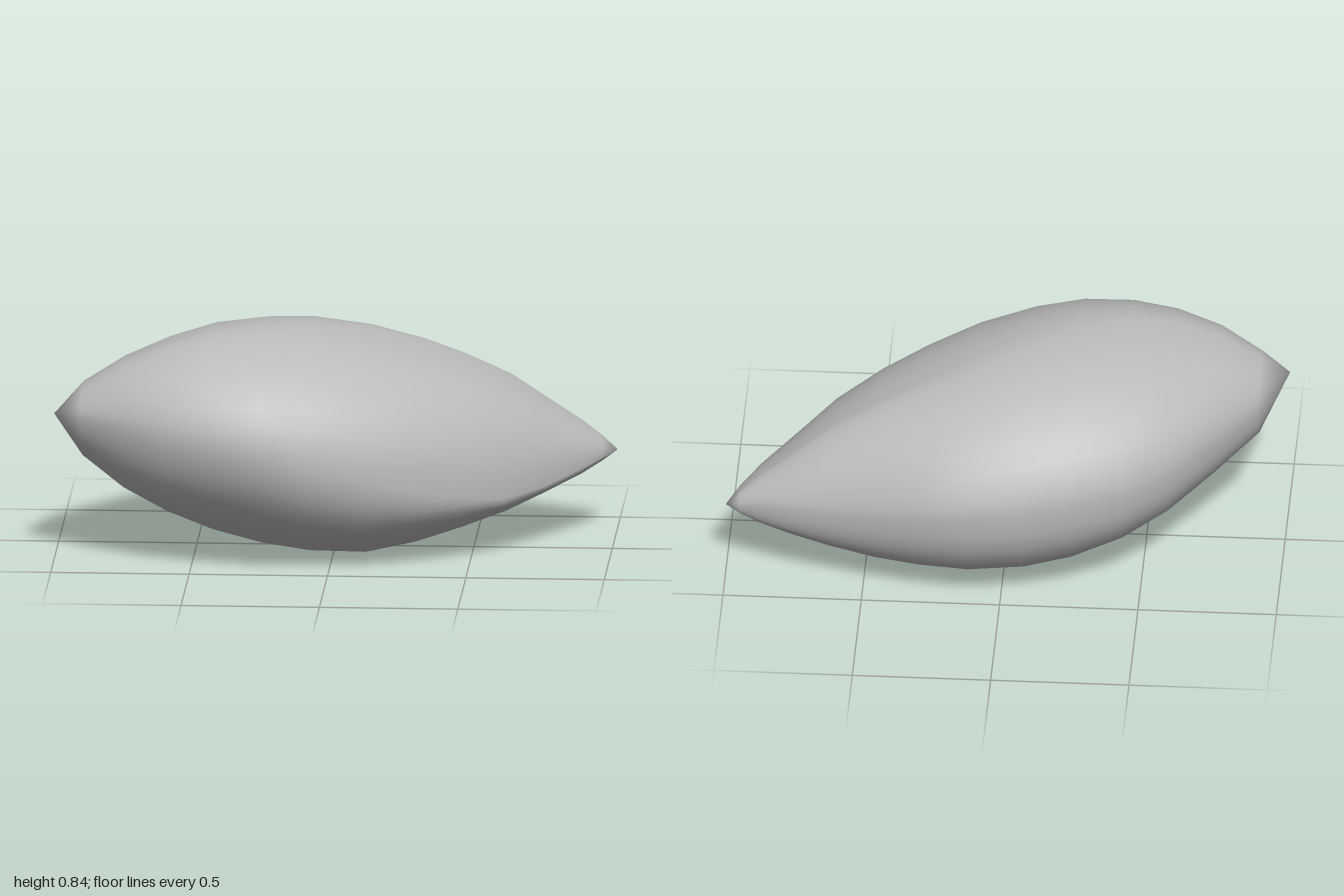
import * as THREE from 'three';

// Cross-sections along the pod:
// x, top y, top z, front z, front y, bottom y, bottom z, back z, back y
const SECTIONS = [
  [-0.90, 0.64, 0.22, 0.35, 0.54, 0.375, 0.22, 0.02, 0.52],
  [-0.75, 0.73, 0.22, 0.445, 0.53, 0.265, 0.25, -0.17, 0.50],
  [-0.59, 0.79, 0.20, 0.52, 0.51, 0.175, 0.23, -0.37, 0.48],
  [-0.43, 0.83, 0.15, 0.565, 0.49, 0.10, 0.17, -0.48, 0.46],
  [-0.25, 0.84, 0.08, 0.59, 0.46, 0.04, 0.10, -0.545, 0.45],
  [-0.08, 0.83, 0.0, 0.565, 0.41, 0.01, 0.06, -0.58, 0.43],
  [0.12, 0.787, -0.10, 0.51, 0.355, 0.002, 0.02, -0.596, 0.42],
  [0.30, 0.73, -0.17, 0.42, 0.30, 0.028, -0.08, -0.56, 0.39],
  [0.46, 0.665, -0.21, 0.32, 0.255, 0.07, -0.19, -0.51, 0.36],
  [0.62, 0.585, -0.25, 0.19, 0.225, 0.125, -0.27, -0.465, 0.34],
  [0.76, 0.485, -0.28, 0.02, 0.235, 0.18, -0.32, -0.43, 0.33],
  [0.88, 0.40, -0.31, -0.13, 0.265, 0.225, -0.34, -0.39, 0.32],
  [0.95, 0.34, -0.33, -0.235, 0.285, 0.26, -0.34, -0.365, 0.30],
];
const SIDES = 40;

// Fullness of each quarter at the two ends of the pod (2 is an ellipse)
const FULLNESS = {
  frontTop: [1.83, 2.3],
  backTop: [1.98, 1.68],
  frontBottom: [1.8, 2.2],
  backBottom: [2.4, 2.3],
};

// Four quarter arcs joined smoothly through the extreme points
function ring([x, topY, topZ, frontZ, frontY, botY, botZ, backZ, backY]) {
  const blend = THREE.MathUtils.smoothstep(x, -0.5, 0.5);
  const points = [];
  for (let j = 0; j < SIDES; j++) {
    const a = (j / SIDES) * Math.PI * 2;
    const c = Math.cos(a), s = Math.sin(a);
    const up = s >= 0, front = c >= 0;
    const midZ = up ? topZ : botZ;
    const midY = front ? frontY : backY;
    const [p0, p1] = FULLNESS[(front ? 'front' : 'back') + (up ? 'Top' : 'Bottom')];
    const power = THREE.MathUtils.lerp(p0, p1, blend);
    const u = Math.pow(Math.abs(c), 2 / power);
    const v = Math.pow(Math.abs(s), 2 / power);
    points.push([
      x,
      midY + ((up ? topY : botY) - midY) * v,
      midZ + ((front ? frontZ : backZ) - midZ) * u,
    ]);
  }
  return points;
}

function podGeometry() {
  const positions = [];
  const index = [];
  for (const section of SECTIONS) for (const p of ring(section)) positions.push(...p);
  const count = SECTIONS.length;
  const leftTip = count * SIDES, rightTip = leftTip + 1;
  positions.push(-1, 0.54, 0.28, 1, 0.29, -0.34);

  for (let j = 0; j < SIDES; j++) {
    const k = (j + 1) % SIDES;
    for (let i = 0; i < count - 1; i++) {
      const a = i * SIDES, b = a + SIDES;
      index.push(a + j, b + j, b + k, a + j, b + k, a + k);
    }
    // Pointed ends
    const last = (count - 1) * SIDES;
    index.push(leftTip, j, k, last + j, rightTip, last + k);
  }
  const geometry = new THREE.BufferGeometry();
  geometry.setAttribute('position', new THREE.Float32BufferAttribute(positions, 3));
  geometry.setIndex(index);
  geometry.computeVertexNormals();
  return geometry;
}

export function createModel() {
  const group = new THREE.Group();
  group.name = 'seedPod';
  const grey = new THREE.MeshStandardMaterial({ color: 0xbababa });
  grey.name = 'stone grey';
  const pod = new THREE.Mesh(podGeometry(), grey);
  pod.name = 'podBody';
  group.add(pod);
  return group;
}
